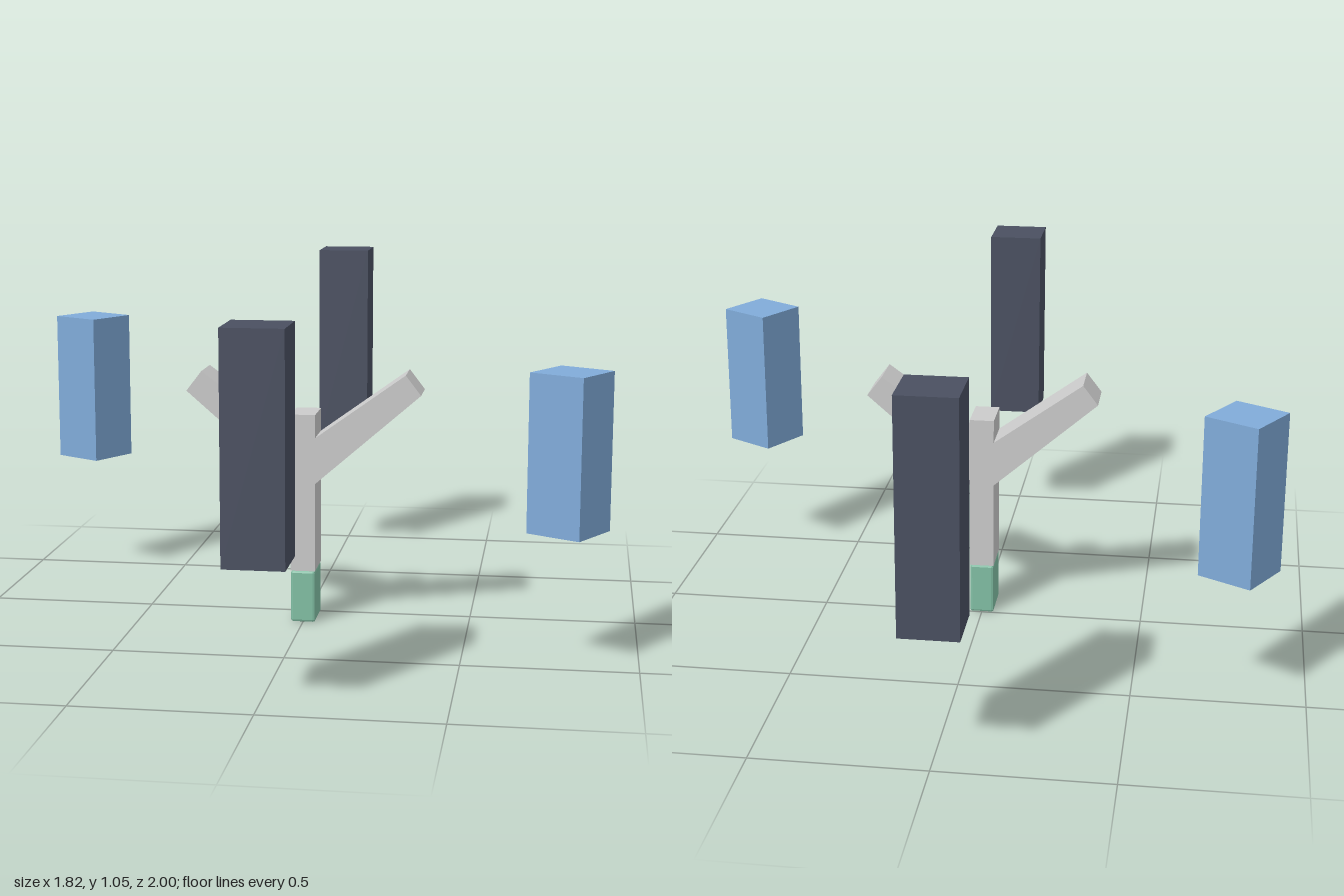
import * as THREE from 'three';
import { RoundedBoxGeometry } from 'three/addons/geometries/RoundedBoxGeometry.js';

const material = (color) => new THREE.MeshStandardMaterial({ color, flatShading: true });

export function createModel() {
  const model = new THREE.Group();
  const grey = material(0xcccccc);
  const dark = material(0x4a5061);
  const blue = material(0x80abd9);
  const green = material(0x82c0a5);

  const add = (name, geometry, mat, x, y, z) => {
    const mesh = new THREE.Mesh(geometry, mat);
    mesh.name = name;
    mesh.position.set(x, y, z);
    model.add(mesh);
    return mesh;
  };

  // Forked post: half outline from stem foot to top stub, mirrored about x = 0
  const half = [[0.037, 0.16], [0.037, 0.43], [0.353, 0.705], [0.307, 0.765], [0.037, 0.57], [0.037, 0.64]];
  const outline = [...half, ...half.map(([x, y]) => [-x, y]).reverse()];
  const shape = new THREE.Shape(outline.map(([x, y]) => new THREE.Vector2(x, y)));
  add('forkedPost', new THREE.ExtrudeGeometry(shape, { depth: 0.132, bevelEnabled: false }), grey, 0, 0, 0);

  // Foot with slightly softened edges
  add('foot', new RoundedBoxGeometry(0.074, 0.16, 0.132, 1, 0.007), green, 0, 0.08, 0.066);

  // Four surrounding pillars sharing one base height
  const base = 0.385;
  const pillars = [
    ['frontPillar', dark, 0, 0.916, 1.007, 0],
    ['backPillar', dark, 0, -0.916, 1.05, 0],
    ['leftPillar', blue, 0.793, 0.458, 0.835, -Math.PI / 6],
    ['rightPillar', blue, -0.793, -0.458, 0.855, -Math.PI / 6],
  ];
  for (const [name, mat, x, z, top, turn] of pillars) {
    const box = new THREE.BoxGeometry(0.168, top - base, 0.168);
    add(name, box, mat, x, (top + base) / 2, z).rotation.y = turn;
  }
  return model;
}
